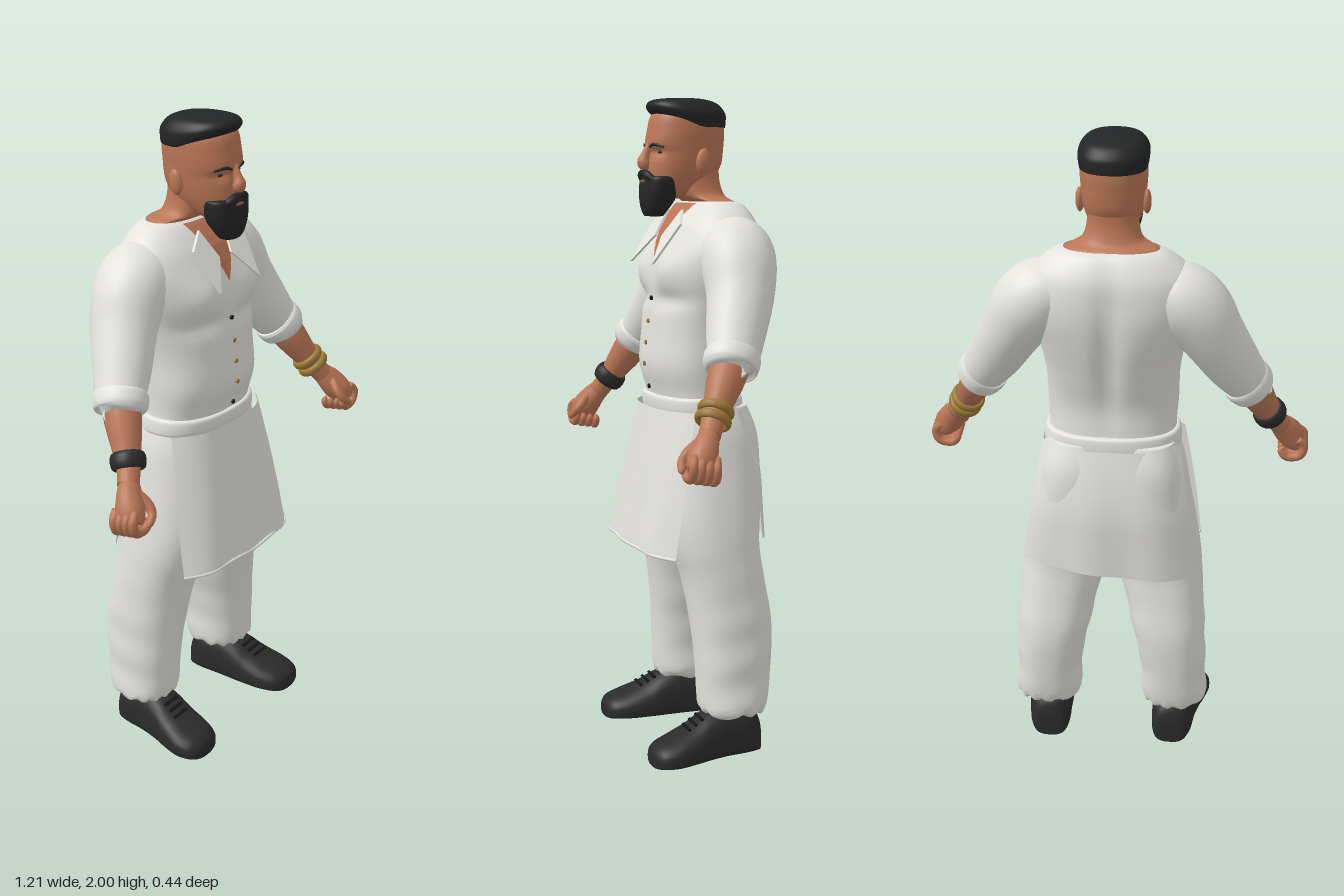
import * as THREE from 'three';

const mat = (name, color, side = THREE.FrontSide) => {
  const m = new THREE.MeshStandardMaterial({ color, side });
  m.name = name;
  return m;
};
const V = (x, y, z) => new THREE.Vector3(x, y, z);
const bell = (d, w) => Math.exp(-(d * d) / (w * w));

// Catmull-Rom interpolation of profile rows
function smooth(rows, k = 6) {
  const out = [], n = rows.length - 1;
  for (let i = 0; i < n; i++) {
    const a = rows[Math.max(i - 1, 0)], b = rows[i], c = rows[i + 1], d = rows[Math.min(i + 2, n)];
    for (let s = 0; s < k; s++) {
      const t = s / k;
      out.push(b.map((p, j) => p + 0.5 * t * (c[j] - a[j] + t * (2 * a[j] - 5 * p + 4 * c[j] - d[j]
        + t * (3 * (p - c[j]) + d[j] - a[j])))));
    }
  }
  out.push(rows[n]);
  return out;
}

// Skin a list of rings (arrays of points) with end caps
function skinRings(rings, caps = true) {
  const pos = [], idx = [], n = rings[0].length, m = rings.length;
  rings.forEach(r => r.forEach(p => pos.push(p.x, p.y, p.z)));
  for (let i = 0; i < m - 1; i++) for (let j = 0; j < n; j++) {
    const a = i * n + j, b = i * n + (j + 1) % n;
    idx.push(a, b, b + n, a, b + n, a + n);
  }
  if (caps) [0, m - 1].forEach(e => {
    const c = rings[e].reduce((s, p) => s.add(p), V(0, 0, 0)).divideScalar(n), ci = pos.length / 3;
    pos.push(c.x, c.y, c.z);
    for (let j = 0; j < n; j++) {
      const a = e * n + j, b = e * n + (j + 1) % n;
      e ? idx.push(ci, a, b) : idx.push(ci, b, a);
    }
  });
  const g = new THREE.BufferGeometry();
  g.setAttribute('position', new THREE.Float32BufferAttribute(pos, 3));
  g.setIndex(idx);
  g.computeVertexNormals();
  return g;
}

const sup = (v, p) => Math.sign(v) * Math.abs(v) ** (2 / p);

// Horizontal cross-sections: [y, centreX, halfWidth, zFront, zBack]
function body(rows, { p = 2.3, n = 48, k = 6, caps = true, bend } = {}) {
  return skinRings(smooth(rows, k).map(([y, xc, hw, zf, zb]) => Array.from({ length: n }, (_, j) => {
    const t = j / n * Math.PI * 2;
    const q = V(xc + hw * sup(Math.sin(t), p), y, (zf + zb) / 2 + (zf - zb) / 2 * sup(Math.cos(t), p));
    if (bend) bend(q, Math.cos(t));
    return q;
  })), caps);
}

// Elliptical tube through rows [x, y, z, radiusSide, radiusFront]
function limb(rows, n = 20, k = 5) {
  const r = smooth(rows, k), P = r.map(a => V(a[0], a[1], a[2]));
  return skinRings(r.map((a, i) => {
    const T = P[Math.min(i + 1, P.length - 1)].clone().sub(P[Math.max(i - 1, 0)]).normalize();
    const S = T.clone().cross(V(0, 0, 1)).normalize(), F = S.clone().cross(T);
    return Array.from({ length: n }, (_, j) => {
      const t = j / n * Math.PI * 2;
      return P[i].clone().addScaledVector(S, a[3] * Math.sin(t)).addScaledVector(F, a[4] * Math.cos(t));
    });
  }));
}

// Open sheet from a rule (u -1..1, v 0..1) => point
function sheet(f, nu = 32, nv = 24) {
  const g = new THREE.PlaneGeometry(2, 1, nu, nv), p = g.attributes.position;
  for (let i = 0; i < p.count; i++) {
    const q = f(p.getX(i), 0.5 - p.getY(i));
    p.setXYZ(i, q.x, q.y, q.z);
  }
  g.computeVertexNormals();
  return g;
}

export function createModel() {
  const root = new THREE.Group();
  root.name = 'figure';
  const cloth = mat('white cloth', 0xe3e2dd, THREE.DoubleSide), skin = mat('skin', 0xba7656, THREE.DoubleSide);
  const hair = mat('black hair', 0x242526), shoe = mat('dark shoe', 0x2b2b2c), gold = mat('gold', 0x9c7a35);
  const lace = mat('black lace', 0x161616), eyeMat = mat('eye', 0x3a2a22), lip = mat('lip', 0x8f5140);
  const add = (name, geo, m, parent = root) => {
    const mesh = new THREE.Mesh(geo, m);
    mesh.name = name;
    parent.add(mesh);
    return mesh;
  };

  // Shirt torso with chest muscles and a spine groove
  const torso = [[1.06, 0, .2, .1, -.145], [1.12, 0, .195, .112, -.14], [1.2, 0, .2, .132, -.14],
    [1.3, 0, .203, .125, -.165], [1.4, 0, .222, .115, -.19], [1.48, 0, .25, .105, -.2], [1.55, 0, .262, .088, -.2],
    [1.61, 0, .245, .062, -.195], [1.65, 0, .21, .035, -.18], [1.68, 0, .17, .01, -.16], [1.692, 0, .14, -.005, -.14]];
  const chest = (x, y) => 0.024 * bell(Math.abs(x) - .11, .075) * bell(y - 1.49, .06)
    - 0.014 * bell(y - 1.4, .025) * bell(Math.abs(x) - .1, .09) - 0.006 * bell(x, .02) * bell(y - 1.35, .2);
  add('shirtTorso', body(torso, { n: 72, caps: false, bend: (q, c) => {
    if (c > 0) q.z += chest(q.x, q.y) * Math.min(1, c * 2);
    else q.z += .024 * bell(q.x, .03) * bell(q.y - 1.4, .2) - .008 * bell(Math.abs(q.x) - .12, .08) * bell(q.y - 1.53, .1);
  } }), cloth);
  const dense = smooth(torso, 12);
  const frontZ = (x, y) => {
    const r = dense.reduce((a, b) => Math.abs(b[0] - y) < Math.abs(a[0] - y) ? b : a);
    const f = Math.max(0, 1 - Math.abs(x / r[2]) ** 2.3) ** (1 / 2.3);
    return (r[3] + r[4]) / 2 + (r[3] - r[4]) / 2 * f + chest(x, y);
  };
  const onFront = (hw, y0, y1, lift) => sheet((u, v) => {
    const y = y0 + (y1 - y0) * v, x = u * hw(v);
    return V(x, y, frontZ(x, y) + lift);
  }, 10, 24);
  add('openNeckline', onFront(v => .002 + .085 * (1 - v), 1.688, 1.515, .007), skin);
  add('buttonPlacket', onFront(() => .018, 1.37, 1.12, .006), cloth);
  [1.13, 1.2, 1.265, 1.33, 1.4].forEach((y, i) => {
    const b = add('button', new THREE.CylinderGeometry(.007, .007, .006, 12), i % 4 ? gold : lace);
    b.rotation.x = Math.PI / 2;
    b.position.set(0, y, frontZ(0, y) + .008);
  });

  // Neck and shoulders' skin, head
  add('neck', body([[1.63, 0, .14, -.01, -.14], [1.685, 0, .14, -.012, -.138], [1.71, 0, .09, .025, -.115],
    [1.76, 0, .075, .045, -.1], [1.82, 0, .075, .05, -.1]]), skin);
  add('head', body([[1.7, 0, .035, .11, .03], [1.72, 0, .06, .122, -.02], [1.76, 0, .08, .127, -.08],
    [1.8, 0, .09, .125, -.105], [1.835, 0, .094, .12, -.111], [1.86, 0, .096, .126, -.113], [1.9, 0, .098, .12, -.115],
    [1.95, 0, .093, .105, -.108], [1.985, 0, .06, .06, -.07]],
  { bend: (q, c) => { if (c > 0) q.z -= .012 * bell(Math.abs(q.x) - .042, .02) * bell(q.y - 1.84, .014); } }), skin);
  add('hairTop', body([[1.912, 0, .098, .098, -.117], [1.93, 0, .102, .114, -.119], [1.955, 0, .102, .121, -.117],
    [1.982, 0, .086, .112, -.095], [1.995, 0, .06, .085, -.06], [2, 0, .02, .03, -.02]],
  { bend: q => { q.y += Math.max(0, q.z + .02) * .3 * (2 - q.y) / .088; } }), hair);
  add('beard', body([[1.648, 0, .035, .13, .08], [1.665, 0, .05, .138, .068], [1.7, 0, .068, .143, .045],
    [1.74, 0, .077, .141, .04], [1.764, 0, .076, .136, .045], [1.768, 0, .06, .125, .05]], { p: 2.6 }), hair);
  add('moustache', limb([[-.056, 1.745, .115, .008, .008], [-.03, 1.77, .133, .012, .012], [0, 1.777, .138, .01, .01],
    [.03, 1.77, .133, .012, .012], [.056, 1.745, .115, .008, .008]], 12), hair);
  const mouth = add('mouth', new THREE.SphereGeometry(.02, 16, 8), lip);
  mouth.scale.set(1, .25, .25);
  mouth.position.set(0, 1.752, .14);
  add('nose', limb([[0, 1.862, .118, .01, .01], [0, 1.83, .131, .012, .014], [0, 1.81, .137, .02, .019],
    [0, 1.797, .132, .02, .016], [0, 1.79, .122, .01, .008]], 16), skin);

  // Waistband
  add('waistband', body([[1.055, 0, .2, .1, -.15], [1.062, 0, .212, .118, -.158], [1.1, 0, .208, .12, -.155],
    [1.108, 0, .198, .108, -.145]], { n: 64 }), cloth);
  // Trouser seat
  add('trouserSeat', body([[.65, 0, .08, .05, -.13], [.75, 0, .2, .105, -.175], [.9, 0, .232, .108, -.188],
    [1, 0, .222, .105, -.182], [1.08, 0, .2, .1, -.15]]), cloth);
  // Apron panels, flaring towards the hem
  add('frontApron', sheet((u, v) => V(u * (.218 + .055 * v + .006 * Math.sin(v * 3)), 1.07 - .42 * v - .01 * u * u * v,
    .128 + .078 * v - (.075 - .01 * v) * Math.abs(u) ** 3.5 + .005 * v * Math.sin(u * 9 + v * 2))), cloth);
  add('frontApronHem', limb([-1, -.75, -.4, 0, .4, .75, 1].map(u => [u * .272, .65 - .01 * u * u,
    .205 - .065 * Math.abs(u) ** 3.5 + .005 * Math.sin(u * 9 + 2), .005, .005]), 8), cloth);
  add('backApron', sheet((u, v) => V(-u * (.212 + .06 * v), 1.07 - .41 * v - .025 * u * v,
    -.165 - .045 * Math.sin(Math.min(1, v * 1.6) * Math.PI / 2) + (.08 - .01 * v) * Math.abs(u) ** 3
    + .005 * v * Math.sin(u * 8))), cloth);

  for (const s of [-1, 1]) {
    const side = new THREE.Group();
    side.name = s > 0 ? 'leftSide' : 'rightSide';
    root.add(side);
    const put = (name, geo, m) => add(name, geo, m, side);
    const arm = (rows, n, k) => limb(rows.map(([x, ...r]) => [s * x, ...r]), n, k);

    // Face details
    const ear = put('ear', new THREE.SphereGeometry(1, 16, 12), skin);
    ear.scale.set(.013, .038, .022);
    ear.position.set(s * .097, 1.812, -.018);
    ear.rotation.x = -.15;
    const eye = put('eye', new THREE.SphereGeometry(1, 12, 8), eyeMat);
    eye.scale.set(.014, .005, .005);
    eye.position.set(s * .042, 1.838, .1);
    put('eyebrow', arm([[.018, 1.853, .123, .003, .003], [.042, 1.861, .119, .005, .004], [.07, 1.853, .097, .003, .003]], 8), hair);

    // Collar flap
    const flap = new THREE.ExtrudeGeometry(new THREE.Shape([[.06, 1.668], [.03, 1.59], [.1, 1.508], [.126, 1.625]]
      .map(([x, y]) => new THREE.Vector2(s * x, y))), { depth: .008, bevelEnabled: false });
    const fp = flap.attributes.position;
    for (let i = 0; i < fp.count; i++) fp.setZ(i, fp.getZ(i) + .138 - (fp.getY(i) - 1.51) * .68);
    flap.computeVertexNormals();
    put('collarFlap', flap, cloth);

    // Sleeve, cuff and forearm
    put('sleeve', arm([[.14, 1.56, -.075, .085, .095], [.2, 1.545, -.077, .108, .112], [.25, 1.5, -.072, .11, .112],
      [.3, 1.42, -.055, .096, .1], [.355, 1.325, -.02, .085, .088], [.395, 1.265, .004, .074, .078],
      [.415, 1.235, .02, .068, .072]], 28), cloth);
    put('sleeveCuff', arm([[.392, 1.262, .005, .074, .078], [.402, 1.25, .011, .079, .083], [.42, 1.225, .025, .073, .078],
      [.422, 1.222, .026, .05, .05]], 28), cloth);
    put('forearm', arm([[.395, 1.27, 0, .055, .055], [.43, 1.2, .04, .054, .055], [.465, 1.13, .08, .042, .042],
      [.49, 1.085, .105, .034, .034], [.515, 1.05, .125, .034, .032]]), skin);

    // Fist
    put('palm', arm([[.505, 1.062, .118, .03, .028], [.53, 1.03, .14, .042, .036], [.553, .995, .16, .042, .044],
      [.57, .968, .168, .03, .04], [.573, .962, .17, .012, .02]]), skin);
    for (let i = 0; i < 4; i++) {
      const z = .2 - i * .023, y = i * -.004;
      put('finger', arm([[.572, 1.01 + y, z - .008, .011, .011], [.592, .985 + y, z, .014, .013], [.58, .95 + y, z, .014, .013],
        [.54, .943 + y, z, .013, .012], [.52, .965 + y, z, .011, .011], [.53, .978 + y, z, .004, .004]], 10, 4), skin);
    }
    put('thumb', arm([[.522, 1.045, .15, .014, .014], [.508, 1.01, .185, .016, .015], [.512, .985, .205, .014, .013],
      [.535, .965, .214, .011, .011], [.545, .96, .214, .004, .004]], 10, 4), skin);

    // Wrist bands: paired gold rings on the left, one broad black band on the right
    const dir = V(s * .07, -.135, .075).normalize();
    const band = (name, along, r, tube, stretch, m) => {
      const b = put(name, new THREE.TorusGeometry(r, tube, 12, 32), m);
      b.position.set(s * .478, 1.104, .095).addScaledVector(dir, along);
      b.quaternion.setFromUnitVectors(V(0, 0, 1), dir);
      b.scale.z = stretch;
    };
    if (s > 0) [-.016, .016].forEach(a => band('goldBracelet', a, .045, .009, 1.5, gold));
    else band('blackWristband', 0, .042, .011, 2.3, shoe);

    // Trouser leg with soft folds and a gathered hem
    put('trouserLeg', body([[.14, .208, .095, .02, -.165], [.155, .208, .104, .03, -.175], [.2, .205, .105, .035, -.185],
      [.3, .2, .106, .04, -.195], [.42, .185, .116, .05, -.2], [.55, .166, .126, .07, -.182], [.65, .147, .137, .1, -.172],
      [.75, .132, .138, .115, -.18], [.9, .113, .13, .108, -.187], [1, .105, .12, .1, -.18], [1.08, .1, .1, .09, -.15]]
      .map(([y, x, ...r]) => [y, s * x, ...r]), { k: 8, bend: q => {
        const low = Math.max(0, 1 - q.y / .7), f = 1 + .035 * low * Math.sin(q.y * 48 + q.z * 9);
        q.x = s * .19 + (q.x - s * .19) * f;
        if (q.y < .17) q.y += .006 * Math.sin(q.x * 130 + q.z * 90);
      } }), cloth);

    // Shoe: upright cross-sections [z, centreX, halfWidth, height] from heel to toe
    const shoeRows = smooth([[-.162, .2, .03, .07], [-.152, .2, .052, .12], [-.11, .203, .066, .155], [-.04, .208, .07, .16],
      [.02, .215, .076, .138], [.07, .224, .082, .108], [.13, .234, .085, .082], [.175, .238, .072, .066],
      [.196, .238, .05, .05], [.202, .238, .025, .035]], 5);
    put('shoe', skinRings(shoeRows.map(([z, x, hw, h]) => Array.from({ length: 28 }, (_, j) => {
      const t = j / 28 * Math.PI * 2, c = Math.cos(t), p = c < 0 ? 4.5 : 2.3;
      return V(s * x - hw * sup(Math.sin(t), p), h * (.4 + (c < 0 ? .4 : .6) * sup(c, p)), z);
    }))), shoe);
    [.04, .062, .084].forEach((z, i) => {
      const l = put('shoeLace', new THREE.BoxGeometry(.06, .008, .009), lace);
      l.position.set(s * (.219 + i * .004), .127 - i * .0125, z);
      l.rotation.x = .5;
    });
  }
  return root;
}
